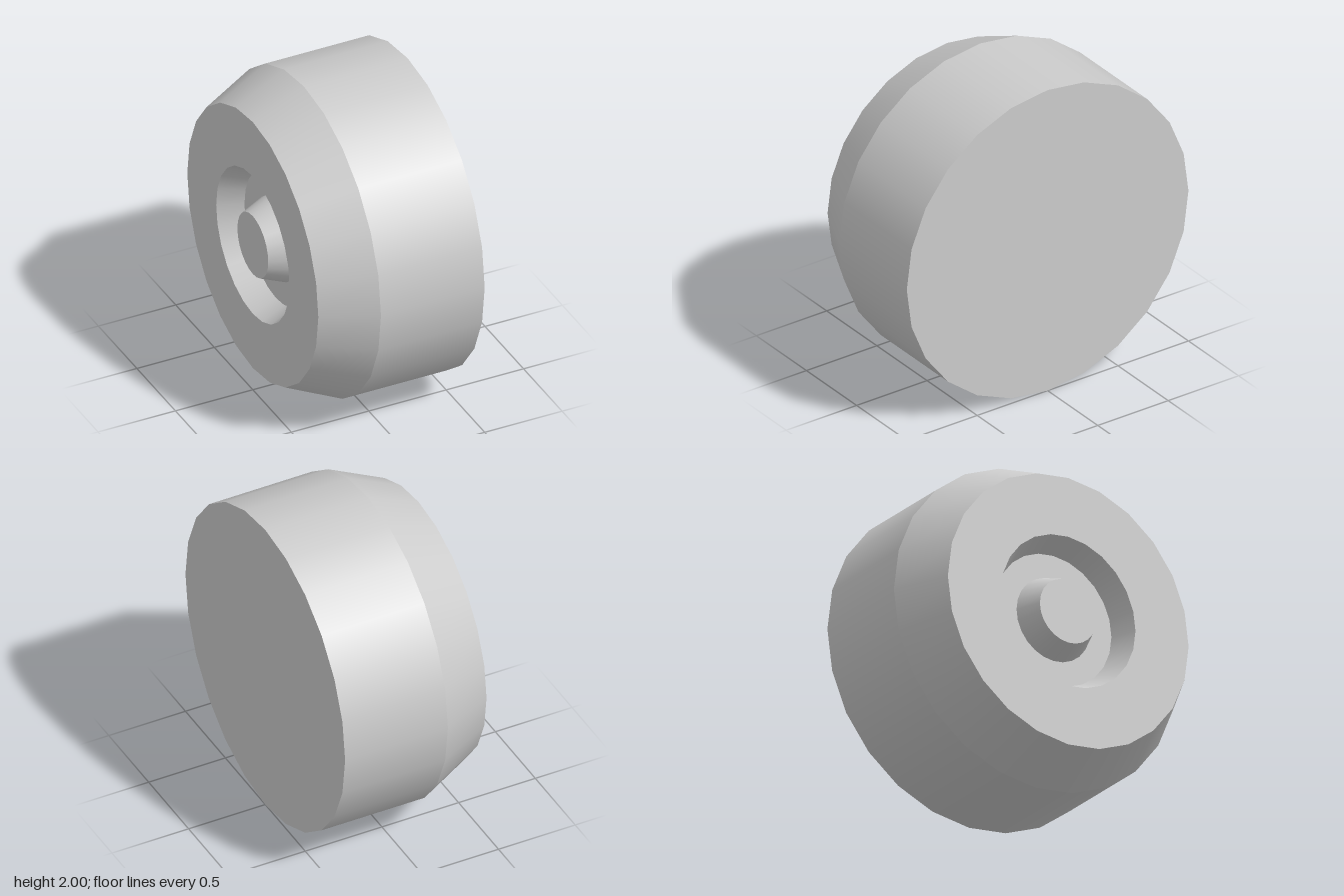
import * as THREE from 'three';

const SIDES = 24;

export function createModel() {
  const model = new THREE.Group();
  model.name = 'wheel';
  const material = new THREE.MeshStandardMaterial({ color: 0xcccccc });

  // Wheel spins about x; profiles are [radius, distance along the axle towards -x]
  const axle = new THREE.Group();
  axle.name = 'wheelBody';
  axle.rotation.z = Math.PI / 2;
  axle.position.y = 1;
  model.add(axle);

  // One band of the wheel: smooth around, sharp where it meets its neighbours
  function addBand(name, from, to) {
    const points = [new THREE.Vector2(...from), new THREE.Vector2(...to)];
    const mesh = new THREE.Mesh(new THREE.LatheGeometry(points, SIDES), material);
    mesh.name = name;
    axle.add(mesh);
  }

  // Profile corners from the inner face round to the hub cap
  const profile = [
    ['innerFace', [0, -0.5]],
    ['tread', [1, -0.5]],
    ['shoulder', [1, 0.17]],
    ['outerFace', [0.85, 0.5]],
    ['recessWall', [0.475, 0.5]],
    ['recessFloor', [0.41, 0.35]],
    ['hubSide', [0.26, 0.35]],
    ['hubCap', [0.2, 0.5]],
    ['axleCentre', [0, 0.5]],
  ];
  for (let i = 0; i < profile.length - 1; i++) {
    addBand(profile[i][0], profile[i][1], profile[i + 1][1]);
  }

  return model;
}
